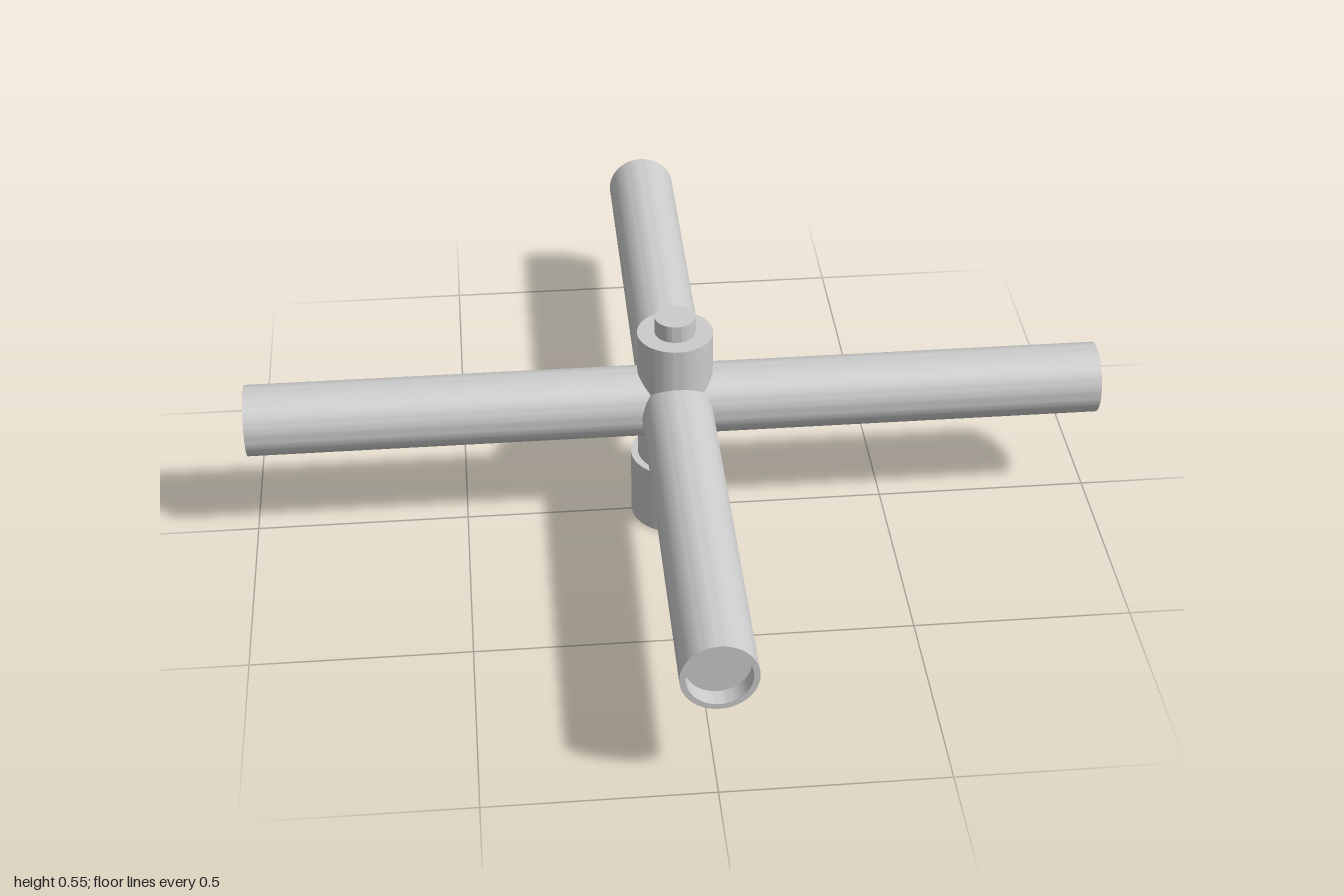
import * as THREE from 'three';
import { toCreasedNormals } from 'three/addons/utils/BufferGeometryUtils.js';

const material = new THREE.MeshStandardMaterial({ color: 0xcccccc });

// Turned solid from [radius, height] points, listed bottom to top
function turned(name, points) {
  const profile = points.map(([r, y]) => new THREE.Vector2(r, y));
  const geometry = toCreasedNormals(new THREE.LatheGeometry(profile, 64), 0.6);
  const mesh = new THREE.Mesh(geometry, material);
  mesh.name = name;
  return mesh;
}

export function createModel() {
  const model = new THREE.Group();
  model.name = 'fourWayPipeHub';

  // Vertical post: wide base collar, body and small top stud
  model.add(turned('post', [
    [0, 0], [0.105, 0], [0.105, 0.168], [0.088, 0.168],
    [0.088, 0.503], [0.047, 0.503], [0.047, 0.545], [0, 0.545],
  ]));

  // Two crossing bars, each with a shallow socket at both ends
  const radius = 0.083, socketRadius = 0.07, socketDepth = 0.04;
  const barProfile = [
    [0, -1 + socketDepth], [socketRadius, -1 + socketDepth], [socketRadius, -1], [radius, -1],
    [radius, 1], [socketRadius, 1], [socketRadius, 1 - socketDepth], [0, 1 - socketDepth],
  ];
  const sideBar = turned('sideBar', barProfile);
  sideBar.rotation.z = Math.PI / 2;
  const frontBar = turned('frontBar', barProfile);
  frontBar.rotation.x = Math.PI / 2;
  for (const bar of [sideBar, frontBar]) {
    bar.position.y = 0.316;
    model.add(bar);
  }
  return model;
}
